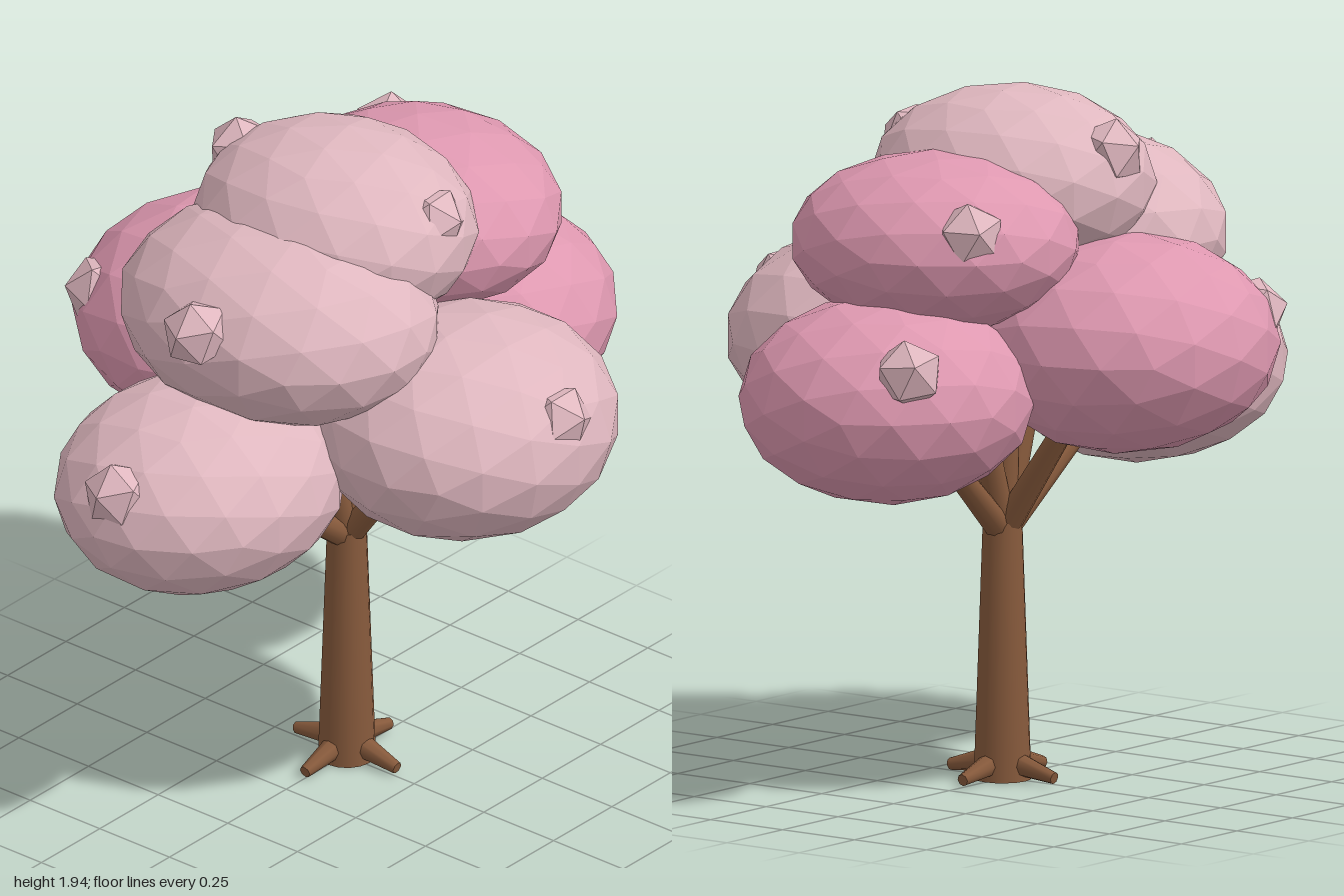
import * as THREE from 'three';

const material = (name, color) => {
  const m = new THREE.MeshStandardMaterial({ color });
  m.name = name;
  return m;
};

// Faceted geometry: separate the faces and give each its own normal
function faceted(geometry) {
  const g = geometry.index ? geometry.toNonIndexed() : geometry;
  g.computeVertexNormals();
  return g;
}

export function createModel() {
  const tree = new THREE.Group();
  tree.name = 'blossomTree';
  const bark = material('bark brown', 0x875a3c);
  const pale = material('pale blossom', 0xdfb7bf);
  const deep = material('deep blossom', 0xde98b0);

  const add = (name, geometry, mat) => {
    const mesh = new THREE.Mesh(geometry, mat);
    mesh.name = name;
    tree.add(mesh);
    return mesh;
  };

  // Tapered limb between two points
  const up = new THREE.Vector3(0, 1, 0);
  function limb(name, from, to, r0, r1, sides) {
    const a = new THREE.Vector3(...from), b = new THREE.Vector3(...to);
    const dir = b.clone().sub(a);
    const mesh = add(name, new THREE.CylinderGeometry(r1, r0, dir.length(), sides), bark);
    mesh.position.copy(a).add(b).multiplyScalar(0.5);
    mesh.quaternion.setFromUnitVectors(up, dir.normalize());
  }

  // Trunk and four roots
  limb('trunk', [0.01, 0, 0], [0.01, 0.72, 0], 0.08, 0.055, 16);
  for (const [x, z] of [[1, 0], [-1, 0], [0, 1], [0, -1]]) {
    limb('root', [0.01 + x * 0.04, 0.05, z * 0.04], [0.01 + x * 0.18, 0.02, z * 0.18], 0.035, 0.017, 8);
  }

  // Foliage clumps: name, centre, radii, colour, twist
  const clumps = [
    ['frontClump', [0.02, 1.2, 0.42], [0.44, 0.3, 0.41], pale, 0],
    ['leftClump', [-0.57, 1.095, -0.04], [0.43, 0.28, 0.38], pale, 0.5],
    ['rightClump', [0.59, 1.15, -0.045], [0.41, 0.285, 0.405], deep, 0.9],
    ['backClump', [0, 1.265, -0.42], [0.43, 0.3, 0.42], deep, 0.3],
    ['upperLeftClump', [-0.26, 1.51, -0.015], [0.4, 0.28, 0.47], pale, 1.2],
    ['upperRightClump', [0.37, 1.56, -0.045], [0.38, 0.245, 0.41], deep, 0.7],
    ['topClump', [0, 1.68, -0.03], [0.36, 0.26, 0.41], pale, 0.2],
  ];
  for (const [name, centre, radii, mat, twist] of clumps) {
    const g = new THREE.IcosahedronGeometry(1.01, 2).rotateY(twist).scale(...radii);
    add(name, faceted(g), mat).position.set(...centre);
  }

  // One branch reaching into every clump
  for (const [name, [x, y, z]] of clumps) {
    const low = y < 1.4;
    const to = low ? [x * 0.65, 0.71 + (y - 0.71) * 0.7, z * 0.65] : [x * 0.75, y - 0.12, z];
    limb(name.replace('Clump', 'Branch'), [0.01, 0.69, 0], to, 0.04, 0.028, 10);
  }

  // Small blossoms, each with one corner facing outward from its clump
  const blossoms = [
    [0, [0.03, 1.31, 0.74]],
    [1, [-0.92, 1.2, -0.04]],
    [2, [0.82, 1.28, -0.3]],
    [3, [-0.26, 1.34, -0.66]],
    [4, [-0.63, 1.6, 0]],
    [5, [0.56, 1.63, -0.31]],
    [6, [0.04, 1.765, 0.28]],
    [6, [-0.01, 1.785, -0.36]],
  ];
  const corner = new THREE.Vector3(0, 1, (1 + Math.sqrt(5)) / 2).normalize();
  const blossomGeometry = faceted(new THREE.IcosahedronGeometry(0.1, 0));
  for (const [index, position] of blossoms) {
    const mesh = add('blossom', blossomGeometry, pale);
    mesh.position.set(...position);
    const outward = mesh.position.clone().sub(new THREE.Vector3(...clumps[index][1])).normalize();
    mesh.quaternion.setFromUnitVectors(corner, outward);
  }
  return tree;
}
